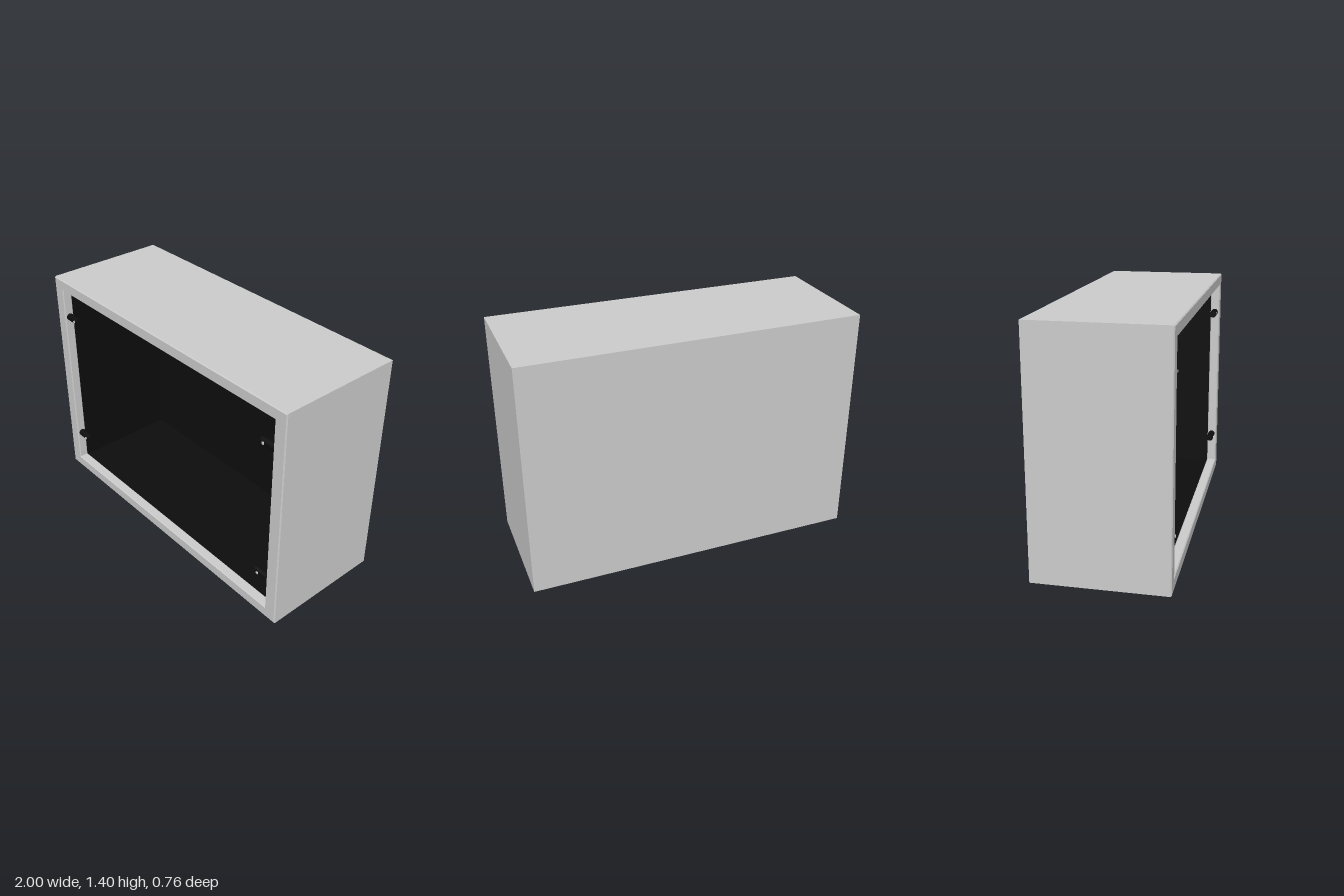
import * as THREE from 'three';

const grey = new THREE.MeshStandardMaterial({ color: 0xcccccc });
const black = new THREE.MeshStandardMaterial({ color: 0x0d0d0d });
const H = 1.4, FRONT = 0.38, BEVEL = 0.006;

// Corners of a rectangle centred on the cabinet's front
function rect(halfW, halfH) {
  const c = H / 2;
  return [[-halfW, c - halfH], [halfW, c - halfH], [halfW, c + halfH], [-halfW, c + halfH]]
    .map(([x, y]) => new THREE.Vector2(x, y));
}

// Rectangular tube running along z
function ring(name, outer, inner, z0, z1, material, bevel = 0) {
  const shape = new THREE.Shape(rect(...outer));
  shape.holes.push(new THREE.Path(rect(...inner)));
  const geometry = new THREE.ExtrudeGeometry(shape, {
    depth: z1 - z0 - 2 * bevel,
    bevelEnabled: bevel > 0,
    bevelThickness: bevel,
    bevelSize: bevel,
    bevelOffset: -bevel,
    bevelSegments: 1,
  });
  geometry.translate(0, 0, z0 + bevel);
  const mesh = new THREE.Mesh(geometry, material);
  mesh.name = name;
  return mesh;
}

function add(parent, name, geometry, material, x, y, z) {
  const mesh = new THREE.Mesh(geometry, material);
  mesh.name = name;
  mesh.position.set(x, y, z);
  parent.add(mesh);
  return mesh;
}

export function createModel() {
  const model = new THREE.Group();
  model.name = 'cabinet';

  // Outer case and its back
  model.add(ring('outerCase', [1, 0.7], [0.96, 0.67], -0.36, 0.326, grey));
  add(model, 'backPanel', new THREE.BoxGeometry(2, H, 0.02), grey, 0, H / 2, -0.37);

  // Dark interior
  model.add(ring('innerLining', [0.96, 0.67], [0.93, 0.645], -0.36, 0.32, black));
  add(model, 'innerBack', new THREE.BoxGeometry(1.92, 1.34, 0.02), black, 0, H / 2, -0.35);

  // Front frame with a fine chamfer
  model.add(ring('frontFrame', [1, 0.7], [0.92, 0.63], 0.32, FRONT, grey, BEVEL));

  // Four dark mounting pegs, each with a small screw
  for (const side of [-1, 1]) {
    for (const y of [0.265, 1.145]) {
      const mount = new THREE.Group();
      mount.name = 'mount';
      mount.position.set(side * 0.84, y, 0.348);
      const peg = add(mount, 'peg', new THREE.CylinderGeometry(0.022, 0.022, 0.11, 20), black, side * 0.03, 0, 0);
      peg.rotation.z = Math.PI / 2;
      const screw = add(mount, 'screw', new THREE.CylinderGeometry(0.009, 0.009, 0.012, 16), grey, 0, 0, 0.018);
      screw.rotation.x = Math.PI / 2;
      model.add(mount);
    }
  }
  return model;
}
